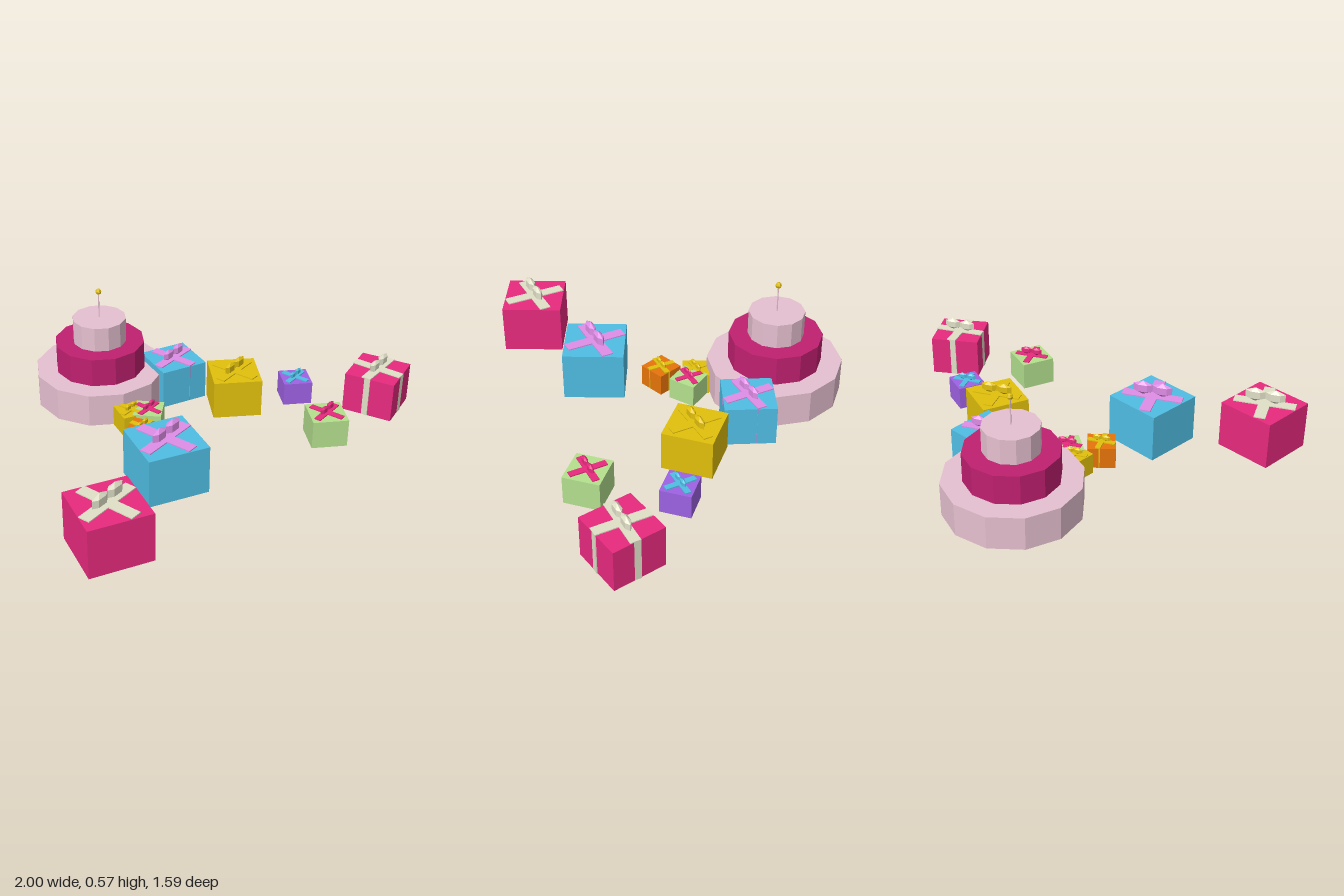
import * as THREE from 'three';

// Gift wrap, ribbons and cake tiers are open underneath, so all show both sides
const paint = (name, color) => {
  const m = new THREE.MeshStandardMaterial({ color, flatShading: true, side: THREE.DoubleSide });
  m.name = name;
  return m;
};

// Box standing on y = 0 with its underside left open
function openBox(width, height, depth) {
  const geo = new THREE.BoxGeometry(width, height, depth);
  const index = Array.from(geo.index.array);
  index.splice(18, 6);
  geo.setIndex(index);
  geo.clearGroups();
  return geo.translate(0, height / 2, 0);
}

export function createModel() {
  const root = new THREE.Group();
  root.name = 'cakeAndGifts';

  const pink = paint('pink', 0xe82a7e);
  const magenta = paint('magenta', 0xc02070);
  const icing = paint('paleIcing', 0xe6c0d0);
  const blue = paint('blue', 0x50bee4);
  const yellow = paint('yellow', 0xe2c00c);
  const purple = paint('purple', 0x9e62e4);
  const orchid = paint('orchid', 0xe08ee8);
  const green = paint('green', 0xb4e08e);
  const orange = paint('orange', 0xe6740a);
  const cream = paint('cream', 0xe0e0c8);

  const add = (parent, name, geo, mat, x = 0, y = 0, z = 0) => {
    const mesh = new THREE.Mesh(geo, mat);
    mesh.name = name;
    mesh.position.set(x, y, z);
    parent.add(mesh);
    return mesh;
  };

  // Three-tier cake with a candle
  const cake = new THREE.Group();
  cake.name = 'cake';
  cake.position.set(0.131, 0, -0.479);
  root.add(cake);
  const tiers = [
    ['lowerTier', 0.317, 0, 0.16, icing],
    ['middleTier', 0.218, 0.16, 0.30, magenta],
    ['upperTier', 0.13, 0.30, 0.42, icing],
  ];
  for (const [name, r, y0, y1, mat] of tiers) {
    // wall and top only, open underneath
    const wall = new THREE.CylinderGeometry(r, r, y1 - y0, 12, 1, true);
    add(cake, name, wall, mat, 0, (y0 + y1) / 2, 0);
    const top = new THREE.CircleGeometry(r, 12).rotateX(-Math.PI / 2);
    add(cake, name + 'Top', top, mat, 0, y1, 0);
  }
  add(cake, 'candle', new THREE.CylinderGeometry(0.003, 0.003, 0.13, 6), icing, 0, 0.485, 0);
  add(cake, 'flame', new THREE.SphereGeometry(0.015, 6, 4), yellow, 0, 0.555, 0);

  // Gift: turned box, straight ribbon cross and two faceted bow loops
  function gift(x, z, size, height, degrees, wrap, ribbon) {
    const g = new THREE.Group();
    g.name = 'gift';
    g.position.set(x, 0, z);
    root.add(g);

    const box = add(g, 'giftBox', openBox(size, height, size), wrap);
    box.rotation.y = THREE.MathUtils.degToRad(degrees);

    const top = height + 0.005;
    const long = size * 1.02;
    const wide = size * 0.19;
    add(g, 'ribbonAcross', openBox(long, top, wide), ribbon);
    add(g, 'ribbonAlong', openBox(wide, top, long), ribbon);

    for (const side of [-1, 1]) {
      const loop = new THREE.SphereGeometry(1, 6, 3);
      loop.scale(size * 0.19, size * 0.125, size * 0.075);
      add(g, 'bowLoop', loop, ribbon, side * size * 0.165, top + size * 0.123, 0);
    }
  }

  gift(-0.808, 0.352, 0.284, 0.23, -28.4, pink, cream);
  gift(-0.295, 0.25, 0.284, 0.23, -28.4, blue, orchid);
  gift(0.36, -0.203, 0.234, 0.19, -24.5, blue, orchid);
  gift(0.437, 0.108, 0.231, 0.187, 44, yellow, yellow);
  gift(0.68, 0.307, 0.139, 0.113, 45, purple, blue);
  gift(0.448, 0.618, 0.167, 0.136, 45, green, pink);
  gift(0.863, 0.656, 0.243, 0.195, 8.5, pink, cream);
  gift(-0.127, -0.013, 0.13, 0.103, 17.5, orange, yellow);
  gift(0.014, -0.087, 0.132, 0.106, 30, green, pink);
  gift(-0.037, -0.152, 0.126, 0.102, -27, yellow, yellow);

  return root;
}
